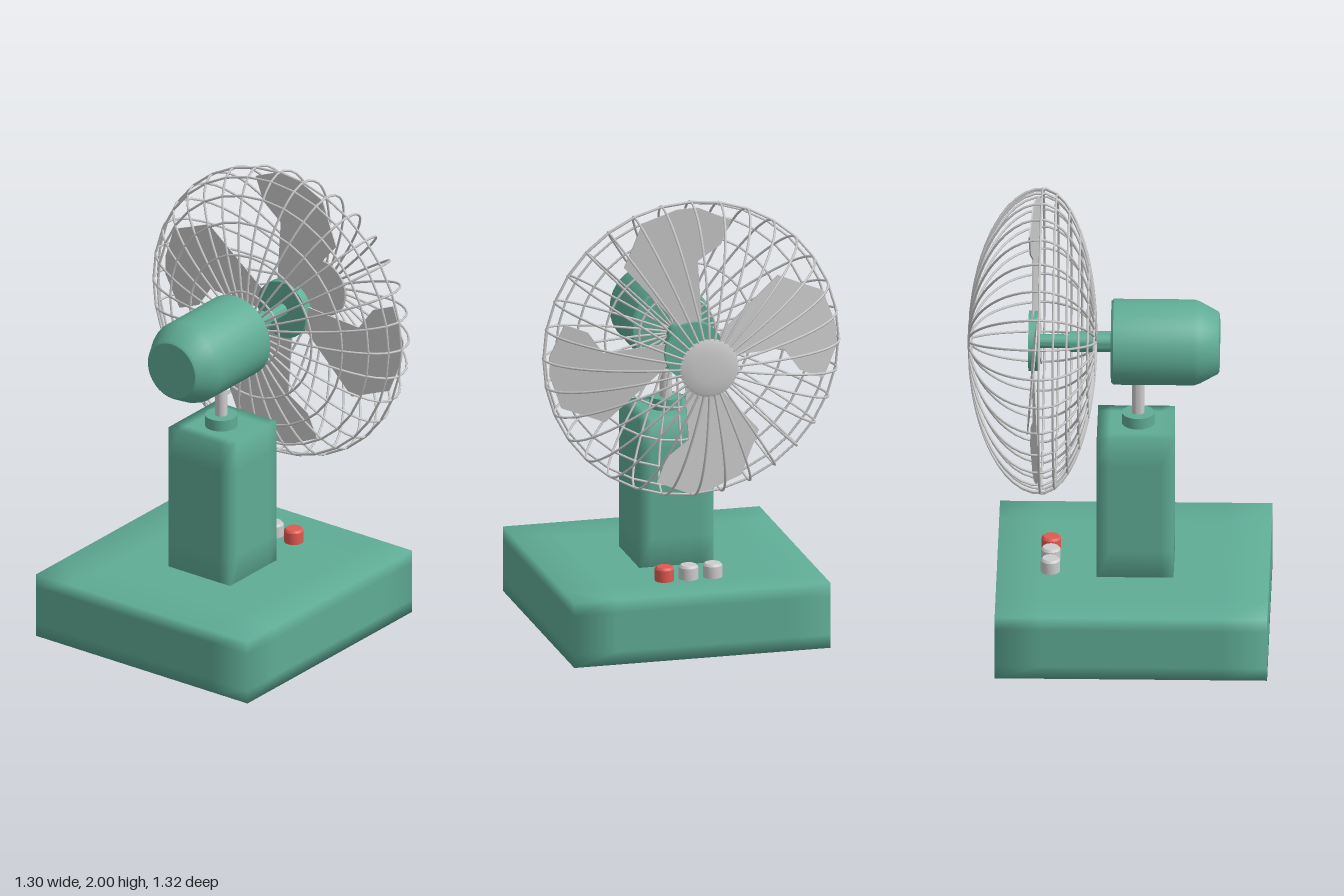
import * as THREE from 'three';
import { mergeGeometries, mergeVertices, toCreasedNormals } from 'three/addons/utils/BufferGeometryUtils.js';

const green = new THREE.MeshStandardMaterial({ color: 0x5fac95 });
const grey = new THREE.MeshStandardMaterial({ color: 0xcccccc });
const red = new THREE.MeshStandardMaterial({ color: 0xe05a50 });

const AXIS_Y = 1.335; // height of the motor shaft

// Box between two corners whose normals blend softly over the edges
function softBox(x0, x1, y0, y1, z0, z1) {
  let geo = new THREE.BoxGeometry(x1 - x0, y1 - y0, z1 - z0, 6, 5, 6);
  geo.deleteAttribute('uv');
  geo.deleteAttribute('normal');
  geo = mergeVertices(geo);
  geo.computeVertexNormals();
  return geo.translate((x0 + x1) / 2, (y0 + y1) / 2, (z0 + z1) / 2);
}

// Turned part from [radius, height] pairs
function turned(points, sides = 32) {
  const geo = new THREE.LatheGeometry(points.map(([r, h]) => new THREE.Vector2(r, h)), sides);
  return toCreasedNormals(geo, 0.6);
}

const turnedAlongX = (points, sides) => turned(points, sides).rotateZ(-Math.PI / 2);

export function createModel() {
  const model = new THREE.Group();
  const head = new THREE.Group();
  head.name = 'fanHead';
  head.position.y = AXIS_Y;
  model.add(head);

  function add(parent, name, geometry, material) {
    const mesh = new THREE.Mesh(geometry, material);
    mesh.name = name;
    parent.add(mesh);
    return mesh;
  }

  // Stand
  add(model, 'base', softBox(-0.65, 0.52, 0, 0.29, -0.57, 0.57), green);
  add(model, 'column', softBox(-0.24, 0.09, 0.28, 0.95, -0.165, 0.165), green);
  add(model, 'collar', turned([[0, 0.94], [0.07, 0.94], [0.07, 1], [0, 1]]), green).position.x = -0.085;
  add(model, 'neckRod', turned([[0.027, 0.99], [0.027, 1.18]], 20), grey).position.x = -0.085;

  // Push buttons
  const buttonProfile = [[0.042, 0.28], [0.042, 0.342], [0.034, 0.352], [0, 0.352]];
  [0.107, 0, -0.107].forEach((z, i) => {
    add(model, i ? 'button' : 'stopButton', turned(buttonProfile, 20), i ? grey : red)
      .position.set(0.29, 0, z);
  });

  // Motor, shaft and hub
  add(head, 'motor', turnedAlongX([
    [0, -0.435], [0.125, -0.435], [0.135, -0.428], [0.177, -0.35], [0.185, -0.325],
    [0.185, 0.02], [0.176, 0.03], [0, 0.03],
  ]), green);
  add(head, 'shaft', turnedAlongX([
    [0.045, 0.02], [0.045, 0.21], [0.03, 0.21], [0.03, 0.35],
  ]), green);
  add(head, 'hub', turnedAlongX([
    [0, 0.345], [0.13, 0.345], [0.13, 0.385], [0, 0.385],
  ]), green);

  // Four pitched blades
  const outline = [
    [-0.05, 0.1], [-0.3, 0.385], [-0.26, 0.48], [-0.22, 0.58], [-0.07, 0.635], [0.02, 0.64],
    [0.165, 0.575], [0.12, 0.47], [0.02, 0.4], [0.04, 0.1],
  ].map(([x, y]) => new THREE.Vector2(x, y));
  const bladeGeo = new THREE.ExtrudeGeometry(new THREE.Shape(outline), { depth: 0.006, bevelEnabled: false });
  const pos = bladeGeo.attributes.position;
  for (let i = 0; i < pos.count; i++) pos.setZ(i, pos.getZ(i) + 0.362 + 0.09 * pos.getX(i));
  bladeGeo.computeVertexNormals();
  bladeGeo.rotateY(Math.PI / 2);
  for (let i = 0; i < 4; i++) add(head, 'blade', bladeGeo, grey).rotation.x = i * Math.PI / 2;

  // Cage section: flatter half-ellipse behind the rim, deeper one in front
  const RIM_X = 0.33, RIM_R = 0.656, REAR = 0.235, FRONT = 0.312, WIRE = 0.0055;
  const section = (t) => new THREE.Vector3(
    RIM_X + Math.sin(t) * (t < 0 ? REAR : FRONT), RIM_R * Math.cos(t), 0);

  // Ribs running from the shaft over the rim to the front cap
  const ribPoints = [];
  const start = -1.5, end = 1.38, steps = 20;
  for (let i = 0; i <= steps; i++) ribPoints.push(section(start + (end - start) * i / steps));
  const rib = new THREE.TubeGeometry(new THREE.CatmullRomCurve3(ribPoints), 28, WIRE, 5);
  const ribs = [];
  for (let i = 0; i < 32; i++) ribs.push(rib.clone().rotateX(i * Math.PI / 16));
  add(head, 'cageRibs', mergeGeometries(ribs), grey);

  // Rings on the rim and the rear half
  const rings = [];
  for (let i = 0; i < 6; i++) {
    const p = section(-i * Math.PI / 12);
    rings.push(new THREE.TorusGeometry(p.y, WIRE, 5, 32).rotateY(Math.PI / 2).translate(p.x, 0, 0));
  }
  add(head, 'cageRings', mergeGeometries(rings), grey);

  // Lens-shaped cap at the front of the cage
  add(head, 'frontCap', turnedAlongX([
    [0, 0.628], [0.125, 0.628], [0.13, 0.634], [0.115, 0.64], [0.07, 0.645], [0, 0.648],
  ]), grey);

  return model;
}
